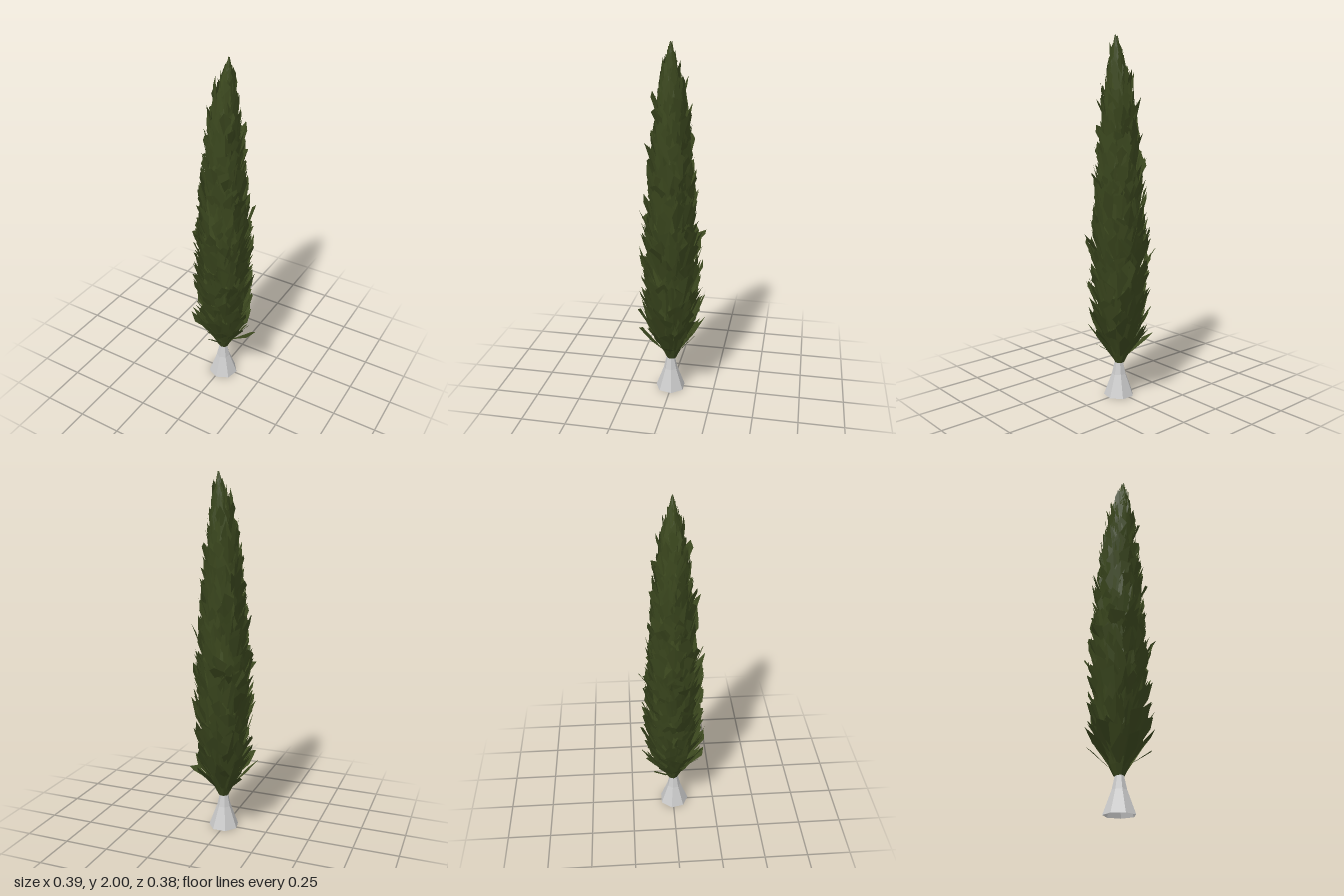
import * as THREE from 'three';

// Foliage envelope: [height, radius]
const PROFILE = [[0.195, 0.04], [0.25, 0.078], [0.32, 0.118], [0.42, 0.15], [0.55, 0.17], [0.8, 0.168], [1.0, 0.162],
  [1.2, 0.142], [1.4, 0.122], [1.6, 0.102], [1.72, 0.086], [1.8, 0.068], [1.88, 0.046], [1.94, 0.027], [2.0, 0.004]];

function radiusAt(y) {
  for (let i = 1; i < PROFILE.length; i++) {
    const [y0, r0] = PROFILE[i - 1], [y1, r1] = PROFILE[i];
    if (y <= y1) return THREE.MathUtils.mapLinear(Math.max(y, y0), y0, y1, r0, r1);
  }
  return 0.004;
}

// The crown leans slightly towards its left at the top
const leanAt = (y) => 0.008 + 0.03 * Math.pow(Math.max(0, y - 0.2) / 1.8, 7);

function seeded(seed) {
  return () => {
    seed = (seed * 1664525 + 1013904223) % 4294967296;
    return seed / 4294967296;
  };
}

// One upright spray: a folded, ragged-tipped blade rising from the core
function addSpray(out, rand, angle, y, yTip, rTip, width) {
  const rBase = radiusAt(y) * 0.6;
  const twist = (rand() - 0.5) * width * 0.7;
  const point = (t, side, lift) => {
    const h = THREE.MathUtils.lerp(y, yTip, t);
    const s = side * width + twist * t;
    // Pull the sides in so the blade follows the round crown
    const r = THREE.MathUtils.lerp(rBase, rTip, t) + lift - Math.abs(s) * 0.15;
    return [leanAt(h) + Math.sin(angle) * r + Math.cos(angle) * s, h, Math.cos(angle) * r - Math.sin(angle) * s];
  };
  const base = point(0, 0, 0);
  const right = point(0.5 + rand() * 0.4, 0.5, (rand() - 0.5) * width * 0.4);
  const left = point(0.5 + rand() * 0.4, -0.5, (rand() - 0.5) * width * 0.4);
  const tip = point(1, (rand() - 0.5) * 0.7, 0);
  out.push(...base, ...right, ...tip, ...base, ...tip, ...left);
}

function spraysGeometry() {
  const rand = seeded(29);
  const out = [];
  const rows = 36;
  for (let row = 0; row < rows; row++) {
    const rowY = 0.195 + 1.53 * (row / (rows - 1));
    const count = Math.round(7 + radiusAt(rowY + 0.1) * 60);
    for (let i = 0; i < count; i++) {
      const angle = (i + row * 0.618 + (rand() - 0.5) * 0.8) / count * Math.PI * 2;
      const y = rowY + rand() * 0.04;
      const yTip = Math.min(y + 0.13 + rand() * 0.11, 1.96);
      const flare = rand() < 0.14 ? 0.01 + rand() * 0.022 : 0;
      const width = Math.min(0.055 + rand() * 0.045, radiusAt(yTip) * 0.5 + 0.02);
      addSpray(out, rand, angle, y, yTip, radiusAt(yTip) * (0.88 + rand() * 0.2) + flare, width);
    }
  }
  // Splayed sprays around the foot of the crown
  for (let i = 0; i < 8; i++) {
    addSpray(out, rand, i * 2.4 + 1.6, 0.21 + rand() * 0.05, 0.35 + i * 0.018, 0.17 + rand() * 0.035, 0.07);
  }
  // Leading shoots that taper to a single point
  for (let i = 0; i < 10; i++) {
    const yTip = 1.85 + i * 0.0165;
    addSpray(out, rand, i * 2.4, yTip - 0.15, yTip, radiusAt(yTip), 0.05 - i * 0.002);
  }
  const geometry = new THREE.BufferGeometry();
  geometry.setAttribute('position', new THREE.Float32BufferAttribute(out, 3));
  geometry.computeVertexNormals();
  return geometry;
}

// Solid inner mass that keeps the crown opaque
function coreGeometry() {
  const points = PROFILE.map(([y, r]) => new THREE.Vector2(r * 0.7, y));
  points.unshift(new THREE.Vector2(0, 0.195));
  const geometry = new THREE.LatheGeometry(points, 9);
  const pos = geometry.attributes.position;
  for (let i = 0; i < pos.count; i++) pos.setX(i, pos.getX(i) + leanAt(pos.getY(i)));
  return geometry;
}

export function createModel() {
  const model = new THREE.Group();
  model.name = 'cypressTree';
  const bark = new THREE.MeshStandardMaterial({ color: 0xcccccc, flatShading: true, side: THREE.DoubleSide });
  const green = new THREE.MeshStandardMaterial({ color: 0x3e4b20, flatShading: true, side: THREE.DoubleSide });

  // Seven-sided open trunk with a flared foot
  const trunkProfile = [[0.086, 0], [0.04, 0.125], [0.024, 0.195], [0.02, 0.25]];
  const trunk = new THREE.Mesh(
    new THREE.LatheGeometry(trunkProfile.map(([r, y]) => new THREE.Vector2(r, y)), 7), bark);
  trunk.name = 'trunk';
  trunk.position.set(0.008, 0, 0.006);

  const core = new THREE.Mesh(coreGeometry(), green);
  core.name = 'crownCore';
  const sprays = new THREE.Mesh(spraysGeometry(), green);
  sprays.name = 'foliageSprays';

  model.add(trunk, core, sprays);
  return model;
}
